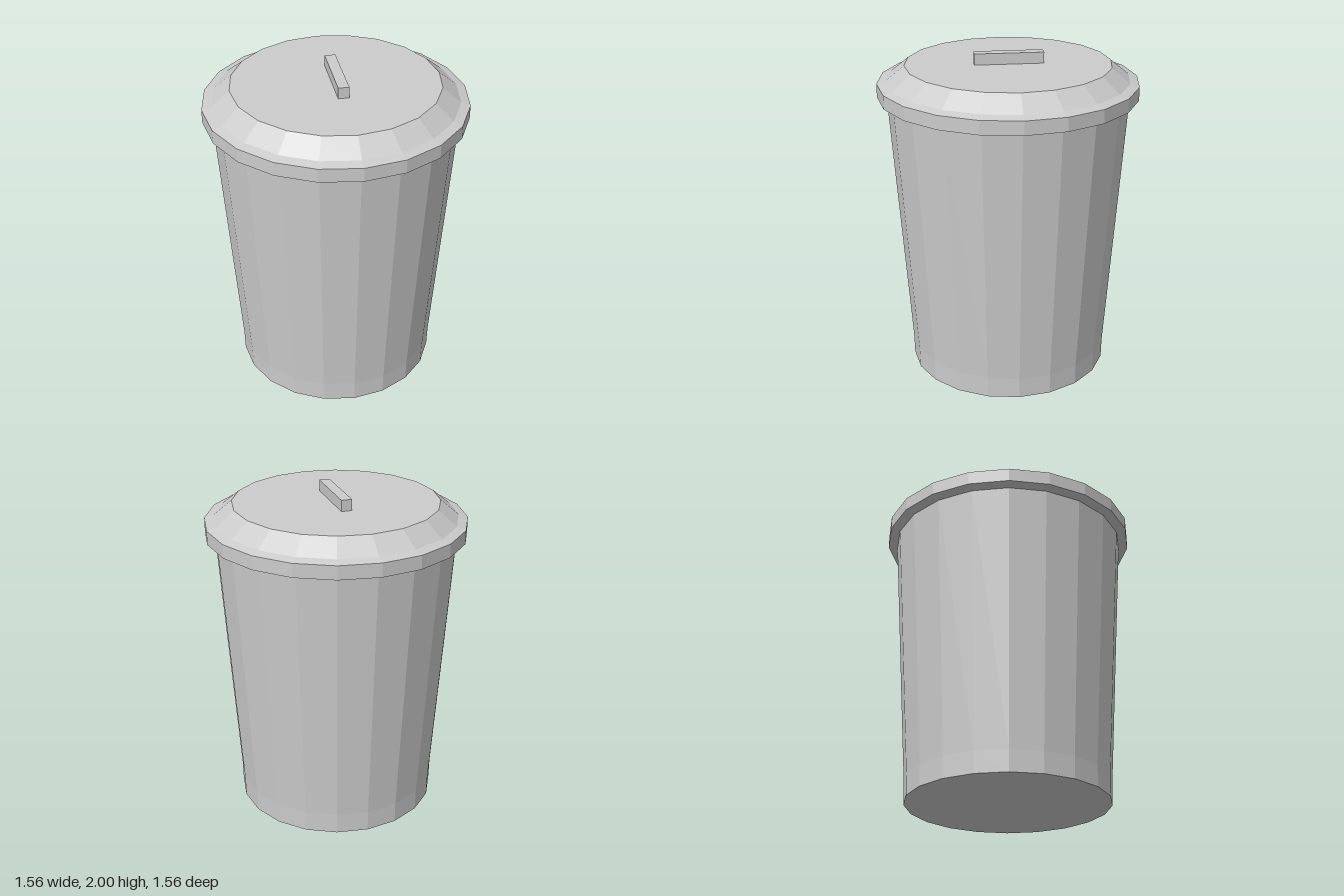
import * as THREE from 'three';

const SIDES = 20;
const material = new THREE.MeshStandardMaterial({ color: 0xcccccc, flatShading: true });

// Faceted solid of revolution from [radius, height] pairs, listed bottom to top
function turned(name, profile) {
  const points = profile.map(([r, y]) => new THREE.Vector2(r, y));
  const mesh = new THREE.Mesh(new THREE.LatheGeometry(points, SIDES), material);
  mesh.name = name;
  return mesh;
}

export function createModel() {
  const group = new THREE.Group();
  group.name = 'trashCan';

  // Tapered bin with a straight foot and closed bottom
  group.add(turned('body', [[0, 0], [0.615, 0], [0.618, 0.13], [0.725, 1.732]]));

  // Lid: underside lip, upright rim, shallow shoulder, slope and flat top
  group.add(turned('lid', [
    [0.725, 1.732], [0.782, 1.745], [0.782, 1.828],
    [0.727, 1.843], [0.617, 1.933], [0, 1.933],
  ]));

  // Bar handle running front to back
  const handle = new THREE.Mesh(new THREE.BoxGeometry(0.064, 0.077, 0.414), material);
  handle.name = 'handle';
  handle.position.set(0.006, 1.9615, -0.002);
  group.add(handle);

  return group;
}
